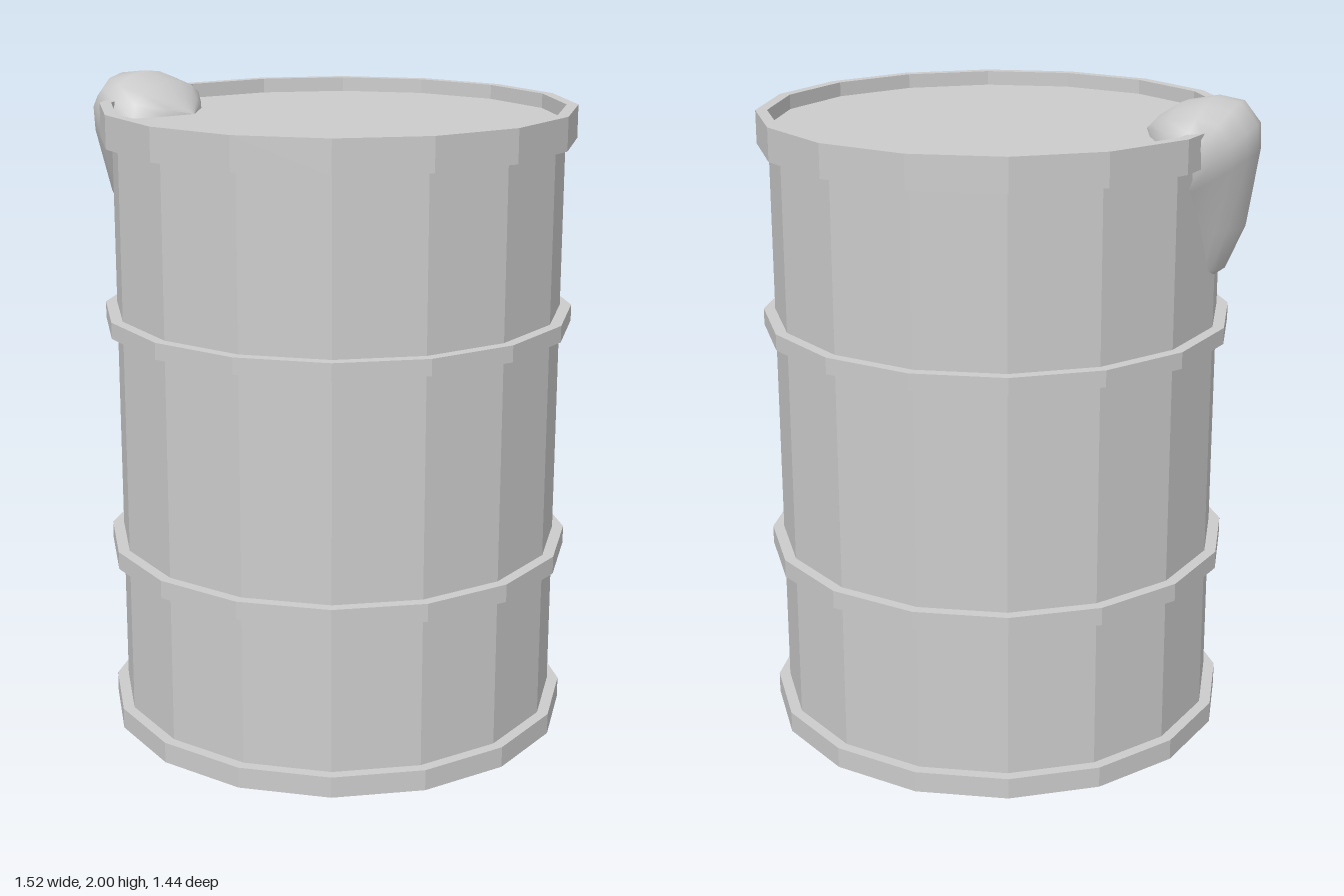
import * as THREE from 'three';

const SIDES = 16, BODY_R = 0.685, HOOP_R = 0.72, LID_Y = 1.885;

// Band of rectangular section around the barrel
function hoop(name, y0, y1, mat) {
  const profile = [
    [BODY_R, y0], [HOOP_R, y0], [HOOP_R, y1], [BODY_R, y1], [BODY_R, y0],
  ].map(([r, y]) => new THREE.Vector2(r, y));
  const mesh = new THREE.Mesh(new THREE.LatheGeometry(profile, SIDES), mat);
  mesh.name = name;
  return mesh;
}

// Domed strip that creeps from the lid over the rim and hangs down the wall
function spillGeometry() {
  // outer x, outer y, inner x, inner y, z from, z to
  const stations = [
    [-0.405, 1.885, -0.405, 1.885, 0.08, 0.09],
    [-0.45, 1.93, -0.45, 1.88, -0.05, 0.17],
    [-0.52, 1.975, -0.52, 1.88, -0.18, 0.26],
    [-0.62, 2.0, -0.60, 1.88, -0.23, 0.245],
    [-0.70, 1.99, -0.62, 1.85, -0.21, 0.23],
    [-0.755, 1.93, -0.62, 1.80, -0.20, 0.21],
    [-0.76, 1.85, -0.60, 1.75, -0.18, 0.20],
    [-0.73, 1.63, -0.61, 1.62, -0.10, 0.12],
    [-0.675, 1.50, -0.62, 1.50, -0.05, 0.06],
    [-0.635, 1.47, -0.635, 1.47, 0.0, 0.02],
  ];
  const n = 8, pos = [], index = [];
  stations.forEach(([ox, oy, ix, iy, z0, z1], i) => {
    for (let j = 0; j <= n; j++) {
      const t = (j / n) * Math.PI;
      const h = Math.pow(Math.max(Math.sin(t), 0), 0.8) * (1 - 0.1 * Math.max(Math.cos(t), 0));
      pos.push(ix + (ox - ix) * h, iy + (oy - iy) * h, (z0 + z1) / 2 - (z1 - z0) / 2 * Math.cos(t));
      if (i < stations.length - 1 && j < n) {
        const a = i * (n + 1) + j, b = a + n + 1;
        index.push(a, b, a + 1, a + 1, b, b + 1);
      }
    }
  });
  const g = new THREE.BufferGeometry();
  g.setAttribute('position', new THREE.Float32BufferAttribute(pos, 3));
  g.setIndex(index);
  g.computeVertexNormals();
  return g;
}

export function createModel() {
  const model = new THREE.Group();
  model.name = 'barrel';
  const metal = new THREE.MeshStandardMaterial({ color: 0xcccccc, flatShading: true });
  const goo = new THREE.MeshStandardMaterial({ color: 0xcccccc, side: THREE.DoubleSide });

  // Drum with sunken lid
  const drum = new THREE.Group();
  drum.name = 'drum';
  drum.position.x = 0.04;
  const body = new THREE.Mesh(new THREE.CylinderGeometry(BODY_R, BODY_R, LID_Y, SIDES), metal);
  body.name = 'body';
  body.position.y = LID_Y / 2;
  drum.add(body);

  // Base band, two ribs and the top rim
  for (const [name, y0, y1] of [
    ['baseBand', 0, 0.065], ['lowerRib', 0.535, 0.59],
    ['upperRib', 1.265, 1.315], ['topRim', 1.83, 1.93],
  ]) drum.add(hoop(name, y0, y1, metal));
  model.add(drum);

  // Spill over the rim
  const spill = new THREE.Mesh(spillGeometry(), goo);
  spill.name = 'spill';
  model.add(spill);
  return model;
}
